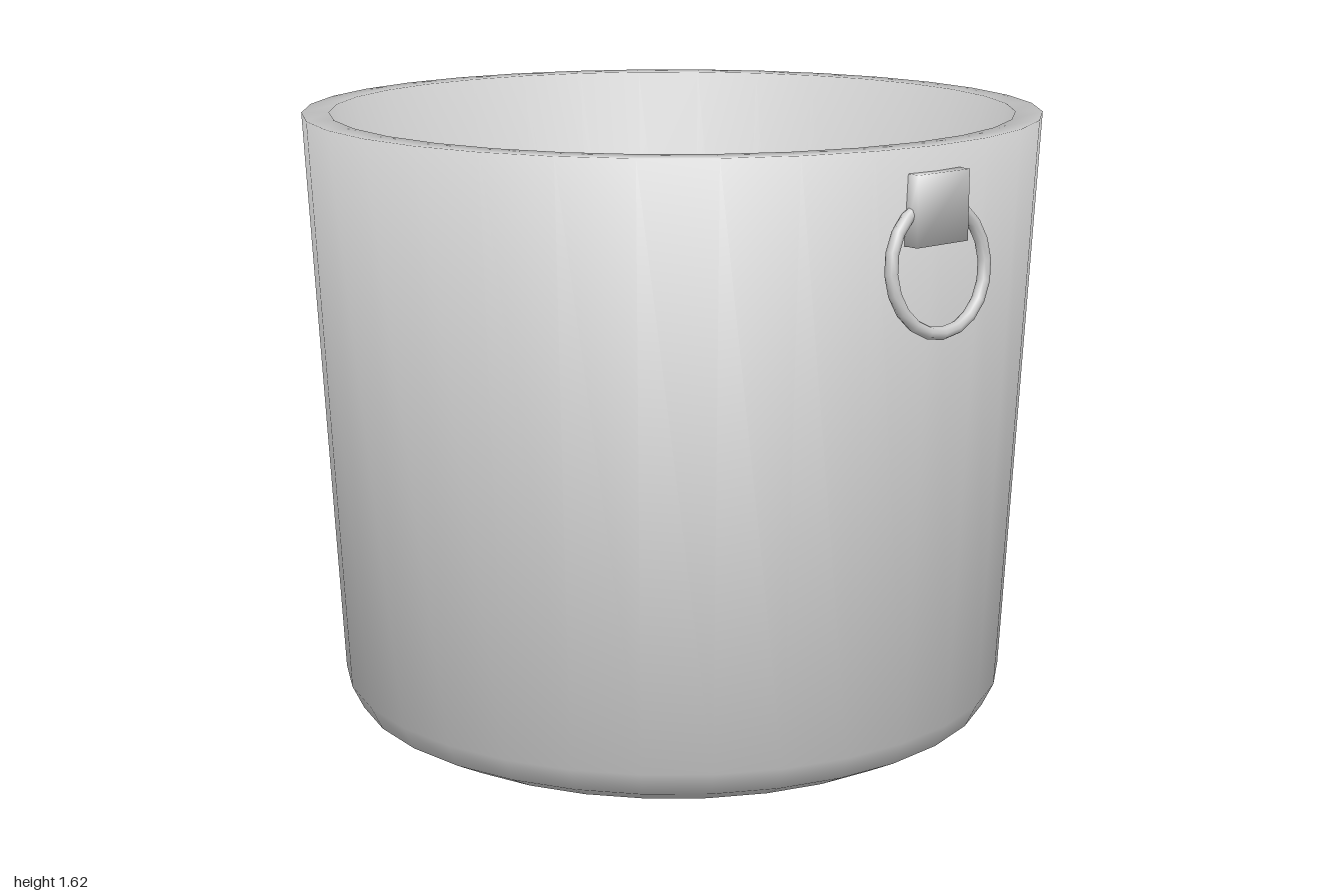
import * as THREE from 'three';

const grey = new THREE.MeshStandardMaterial({ color: 0xcccccc });

function mesh(name, geometry) {
  const m = new THREE.Mesh(geometry, grey);
  m.name = name;
  return m;
}

// Box whose corner normals point diagonally outwards, for a soft shaded look
function softBox(w, h, d) {
  const g = new THREE.BoxGeometry(w, h, d);
  const p = g.attributes.position;
  for (let i = 0; i < p.count; i++) {
    const n = new THREE.Vector3(Math.sign(p.getX(i)), Math.sign(p.getY(i)), Math.sign(p.getZ(i))).normalize();
    g.attributes.normal.setXYZ(i, n.x, n.y, n.z);
  }
  return g;
}

// Lathe whose normals bisect the neighbouring profile edges, whatever their length
function softLathe(profile, segments) {
  const g = new THREE.LatheGeometry(profile, segments);
  const last = profile.length - 1;
  const edge = (j) => profile[j + 1].clone().sub(profile[j]).normalize();
  const tangents = profile.map((_, j) =>
    edge(Math.max(j - 1, 0)).add(edge(Math.min(j, last - 1))).normalize());
  // keep the underside and the floor flat at their centres
  for (let i = 0; i <= segments; i++) {
    const a = (i / segments) * Math.PI * 2;
    tangents.forEach((t, j) =>
      g.attributes.normal.setXYZ(i * (last + 1) + j, t.y * Math.sin(a), -t.x, t.y * Math.cos(a)));
  }
  return g;
}

// Mounting plate with a ring hanging from it, on the +x side
function createHandle(name) {
  const handle = new THREE.Group();
  handle.name = name;

  const plate = mesh('mountingPlate', softBox(0.045, 0.17, 0.17));
  plate.position.set(0.955, 1.48, 0);

  const ringGeometry = new THREE.TorusGeometry(0.156, 0.016, 8, 20);
  ringGeometry.rotateY(Math.PI / 2);
  const ring = mesh('handleRing', ringGeometry);
  ring.position.set(0.966, 1.34, 0);
  ring.rotation.z = 0.115; // bottom swings outwards

  handle.add(plate, ring);
  return handle;
}

export function createModel() {
  const model = new THREE.Group();
  model.name = 'bucket';

  // Shell: underside, outer wall, rim, inner wall thickening downwards, floor
  const profile = [
    [0, 0], [0.66, 0], [0.77, 0.022], [0.855, 0.068], [0.885, 0.13],
    [0.955, 1.625], [0.885, 1.625],
    [0.74, 0.2], [0.71, 0.15], [0.64, 0.12], [0, 0.12],
  ].map(([r, y]) => new THREE.Vector2(r, y));
  model.add(mesh('bucketShell', softLathe(profile, 32)));

  // One handle on each side
  const left = createHandle('leftHandle');
  const right = createHandle('rightHandle');
  right.rotation.y = Math.PI;
  model.add(left, right);

  return model;
}
